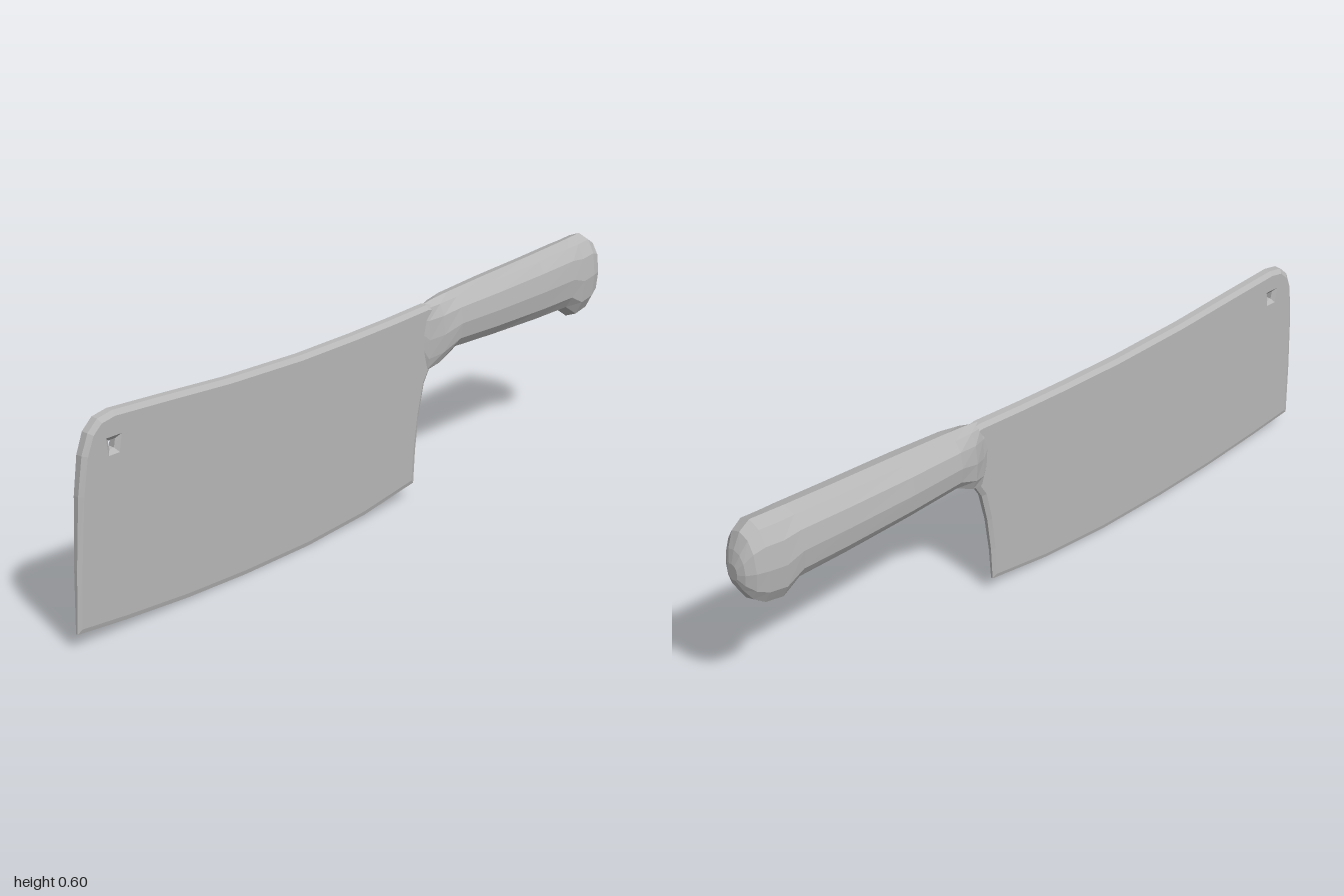
import * as THREE from 'three';

const steel = new THREE.MeshStandardMaterial({ color: 0xb8b8b8, flatShading: true });
steel.name = 'steel grey';

// Blade: outline with a hanging hole, wedge-shaped from thick spine to thin edge
function makeBlade() {
  const outline = [
    [-1, 0.04], [-0.85, 0.024], [-0.65, 0.008], [-0.45, 0], [-0.22, 0], [0, 0.015], [0.2, 0.045],
    [0.205, 0.14], [0.217, 0.24], [0.236, 0.325], [0.26, 0.365], [0.33, 0.43], [0.32, 0.53],
    [0.24, 0.545], [0.1, 0.538], [-0.05, 0.533], [-0.25, 0.53], [-0.5, 0.537], [-0.7, 0.55],
    [-0.87, 0.56], [-0.915, 0.552], [-0.945, 0.525], [-0.965, 0.475], [-0.98, 0.38], [-0.993, 0.2],
  ].map(([x, y]) => new THREE.Vector2(x, y));
  const shape = new THREE.Shape(outline);
  shape.holes.push(new THREE.Path([
    new THREE.Vector2(-0.886, 0.49), new THREE.Vector2(-0.864, 0.49),
    new THREE.Vector2(-0.868, 0.468), new THREE.Vector2(-0.882, 0.468),
  ]));
  const geo = new THREE.ExtrudeGeometry(shape, {
    depth: 1, bevelEnabled: true, bevelThickness: 0.5, bevelSize: 0.012, bevelOffset: -0.012, bevelSegments: 1,
  });
  const pos = geo.attributes.position;
  for (let i = 0; i < pos.count; i++) {
    const half = 0.005 + 0.026 * pos.getY(i);
    pos.setZ(i, (pos.getZ(i) - 0.5) * half);
  }
  geo.computeVertexNormals();
  return geo;
}

// Handle: faceted loft along x; each section is [x, bottom, top, half width]
function makeHandle() {
  const sections = [
    [0.215, 0.41, 0.535, 0.014], [0.24, 0.352, 0.546, 0.024], [0.28, 0.365, 0.552, 0.043],
    [0.34, 0.4, 0.557, 0.055], [0.5, 0.395, 0.567, 0.062], [0.7, 0.39, 0.578, 0.063],
    [0.84, 0.39, 0.587, 0.063], [0.89, 0.356, 0.591, 0.063], [0.94, 0.366, 0.595, 0.061],
    [0.97, 0.39, 0.575, 0.053], [0.99, 0.425, 0.535, 0.037], [1, 0.455, 0.5, 0.018],
  ];
  const sides = 12;
  const points = [], index = [];
  for (const [x, bottom, top, half] of sections) {
    for (let j = 0; j < sides; j++) {
      const a = (j / sides) * Math.PI * 2;
      // Slightly squared oval
      const c = Math.sign(Math.cos(a)) * Math.abs(Math.cos(a)) ** 0.85;
      const s = Math.sign(Math.sin(a)) * Math.abs(Math.sin(a)) ** 0.85;
      points.push(x, (top + bottom) / 2 + c * (top - bottom) / 2, s * half);
    }
  }
  const last = sections.length - 1;
  for (let i = 0; i < last; i++) {
    for (let j = 0; j < sides; j++) {
      const a = i * sides + j, b = i * sides + (j + 1) % sides;
      index.push(a, b, a + sides, b, b + sides, a + sides);
    }
  }
  // End caps
  for (let j = 1; j < sides - 1; j++) {
    index.push(0, j + 1, j);
    index.push(last * sides, last * sides + j, last * sides + j + 1);
  }
  const geo = new THREE.BufferGeometry();
  geo.setAttribute('position', new THREE.Float32BufferAttribute(points, 3));
  geo.setIndex(index);
  geo.computeVertexNormals();
  return geo;
}

export function createModel() {
  const group = new THREE.Group();
  group.name = 'cleaver';
  for (const [name, geo] of [['blade', makeBlade()], ['handle', makeHandle()]]) {
    const mesh = new THREE.Mesh(geo, steel);
    mesh.name = name;
    group.add(mesh);
  }
  return group;
}
